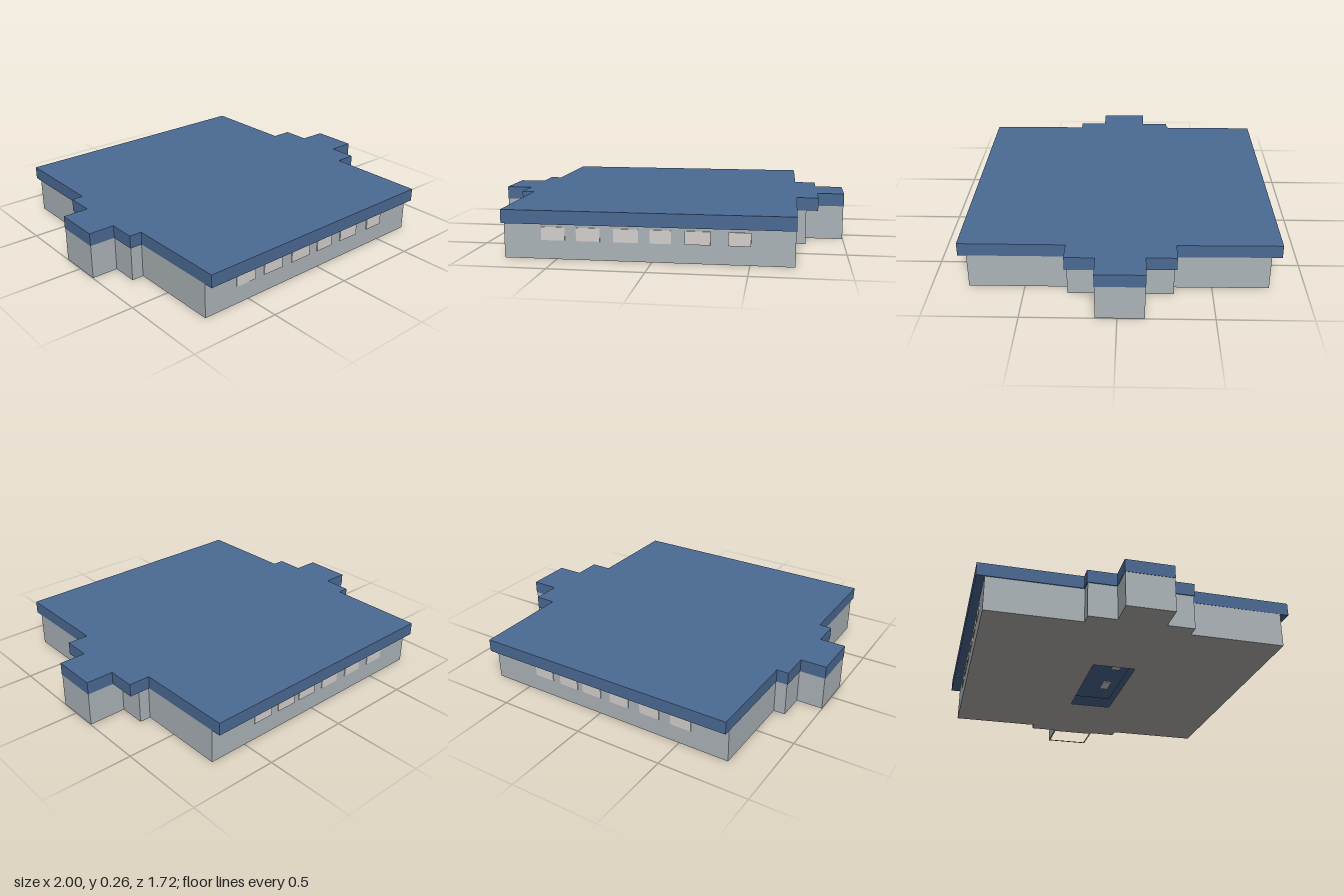
import * as THREE from 'three';

const mat = (name, color) => {
  const m = new THREE.MeshStandardMaterial({ color });
  m.name = name;
  return m;
};

// Plan outline given as [x, z] points, with optional holes, raised from y0 to y1
function slab(name, plan, y0, y1, material, holes = []) {
  const pts = (list) => list.map(([x, z]) => new THREE.Vector2(x, -z));
  const shape = new THREE.Shape(pts(plan));
  holes.forEach((h) => shape.holes.push(new THREE.Path(pts(h))));
  const geo = new THREE.ExtrudeGeometry(shape, { depth: y1 - y0, bevelEnabled: false });
  geo.rotateX(-Math.PI / 2);
  geo.translate(0, y0, 0);
  const mesh = new THREE.Mesh(geo, material);
  mesh.name = name;
  return mesh;
}

const rect = (x0, x1, z0, z1) => [[x0, z0], [x1, z0], [x1, z1], [x0, z1]];

function box(name, x0, x1, y0, y1, z0, z1, material) {
  const mesh = new THREE.Mesh(new THREE.BoxGeometry(x1 - x0, y1 - y0, z1 - z0), material);
  mesh.position.set((x0 + x1) / 2, (y0 + y1) / 2, (z0 + z1) / 2);
  mesh.name = name;
  return mesh;
}

export function createModel() {
  const roofBlue = mat('roofBlue', 0x4b6a94);
  const wallGrey = mat('wallGrey', 0xacb4b8);
  const floorGrey = mat('floorGrey', 0xb6b3b1);
  const windowPale = mat('windowPale', 0xd3cfcd);
  const group = new THREE.Group();
  group.name = 'building';

  // Stepped flat roof, slightly out of square
  const roofPlan = [
    [-0.79, -0.85], [0.72, -0.86], [0.725, -0.305], [0.845, -0.305],
    [0.845, -0.145], [1, -0.145], [1, 0.115], [0.85, 0.115],
    [0.85, 0.275], [0.73, 0.275], [0.73, 0.845], [-0.78, 0.855],
    [-0.785, 0.285], [-0.855, 0.285], [-0.855, 0.13], [-1, 0.13],
    [-1, -0.135], [-0.855, -0.135], [-0.855, -0.295], [-0.79, -0.295],
  ];
  group.add(slab('roof', roofPlan, 0.193, 0.265, roofBlue));

  // Walls stand back from the roof edge at the front, back and one step
  const wallPlan = [
    [-0.785, -0.805], [0.72, -0.805], [0.722, -0.295], [0.785, -0.295],
    [0.785, -0.142], [0.998, -0.142], [0.998, 0.113], [0.785, 0.113],
    [0.785, 0.268], [0.727, 0.268], [0.727, 0.8], [-0.78, 0.805],
    [-0.783, 0.28], [-0.85, 0.28], [-0.85, 0.128], [-0.998, 0.128],
    [-0.998, -0.133], [-0.85, -0.133], [-0.85, -0.29], [-0.785, -0.29],
  ];
  const recess = rect(-0.3, 0.3, -0.13, 0.117);
  const porch = rect(0.8, 0.99, -0.134, 0.105);
  group.add(slab('walls', wallPlan, 0.003, 0.194, wallGrey, [recess, porch]));
  group.add(slab('floor', wallPlan, 0, 0.003, floorGrey, [recess, porch]));

  // Recess under the middle of the floor, with two pale panels
  group.add(box('recessCeiling', -0.3, 0.3, 0.06, 0.066, -0.13, 0.117, roofBlue));
  [0.09, -0.2].forEach((x) => {
    group.add(box('ceilingPanel', x - 0.055, x + 0.055, 0.056, 0.06, 0.015, 0.065, windowPale));
  });

  // Windows along the front and back walls
  const front = [[-0.58, -0.455], [-0.395, -0.27], [-0.2, -0.07], [-0.01, 0.1], [0.17, 0.3], [0.39, 0.505]];
  front.forEach(([a, b]) => group.add(box('frontWindow', a, b, 0.1, 0.17, 0.8, 0.808, windowPale)));
  [0.375, 0.205, 0.05, -0.13, -0.32, -0.51].forEach((x) => {
    group.add(box('backWindow', x - 0.06, x + 0.06, 0.1, 0.17, -0.809, -0.803, windowPale));
  });

  return group;
}
